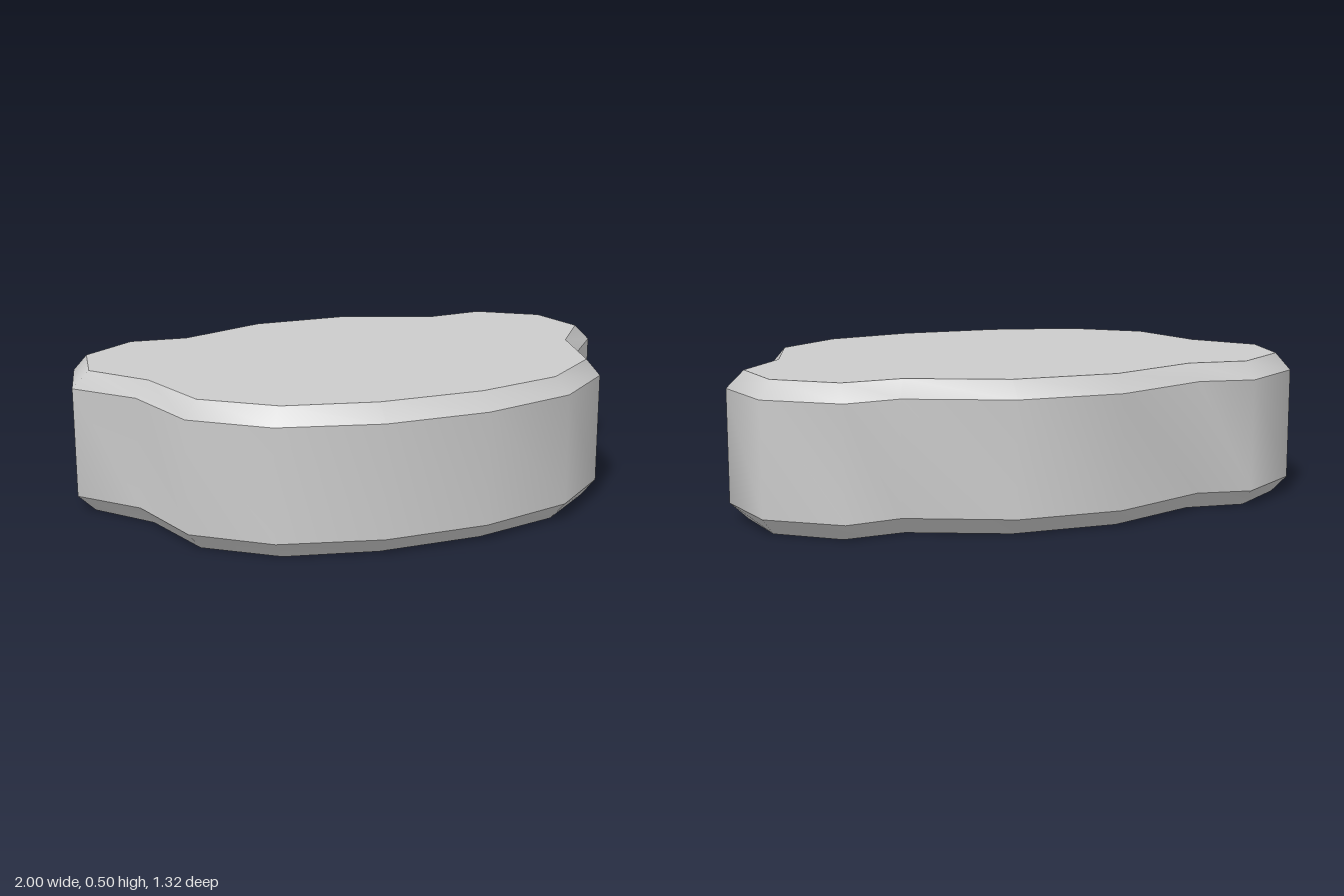
import * as THREE from 'three';

// Half outlines as [x, z], from the back round the +x side to the front
const OUTER = [[0.18, -0.66], [0.52, -0.52], [0.71, -0.55], [0.94, -0.39], [1, -0.13],
  [0.83, 0.07], [0.75, 0.38], [0.52, 0.57], [0.18, 0.66]];
const INNER = [[0.18, -0.61], [0.5, -0.48], [0.705, -0.5], [0.9, -0.355], [0.94, -0.13],
  [0.785, 0.07], [0.705, 0.36], [0.485, 0.535], [0.18, 0.607]];

const HEIGHT = 0.5;
const BEVEL = 0.058;

const mirror = half => [...half, ...half.map(([x, z]) => [-x, z]).reverse()];

// Closed strip between two outlines, smooth around and sharp at its rims
function band(lower, y0, upper, y1) {
  const n = lower.length;
  const positions = [];
  const index = [];
  for (let i = 0; i < n; i++) {
    positions.push(lower[i][0], y0, lower[i][1], upper[i][0], y1, upper[i][1]);
    const a = 2 * i, b = 2 * ((i + 1) % n);
    index.push(a, a + 1, b + 1, a, b + 1, b);
  }
  const geometry = new THREE.BufferGeometry();
  geometry.setAttribute('position', new THREE.Float32BufferAttribute(positions, 3));
  geometry.setIndex(index);
  geometry.computeVertexNormals();
  return geometry;
}

// Flat cap facing up (side = 1) or down (side = -1)
function cap(outline, y, side) {
  const shape = new THREE.Shape(outline.map(([x, z]) => new THREE.Vector2(x, -side * z)));
  return new THREE.ShapeGeometry(shape).rotateX(-side * Math.PI / 2).translate(0, y, 0);
}

export function createModel() {
  const group = new THREE.Group();
  group.name = 'bevelledSlab';
  const material = new THREE.MeshStandardMaterial({ color: 0xcccccc });
  const outer = mirror(OUTER);
  const inner = mirror(INNER);

  const add = (name, geometry) => {
    const mesh = new THREE.Mesh(geometry, material);
    mesh.name = name;
    group.add(mesh);
  };

  add('bottomFace', cap(inner, 0, -1));
  add('bottomBevel', band(inner, 0, outer, BEVEL));
  add('sideWall', band(outer, BEVEL, outer, HEIGHT - BEVEL));
  add('topBevel', band(outer, HEIGHT - BEVEL, inner, HEIGHT));
  add('topFace', cap(inner, HEIGHT, 1));
  return group;
}
